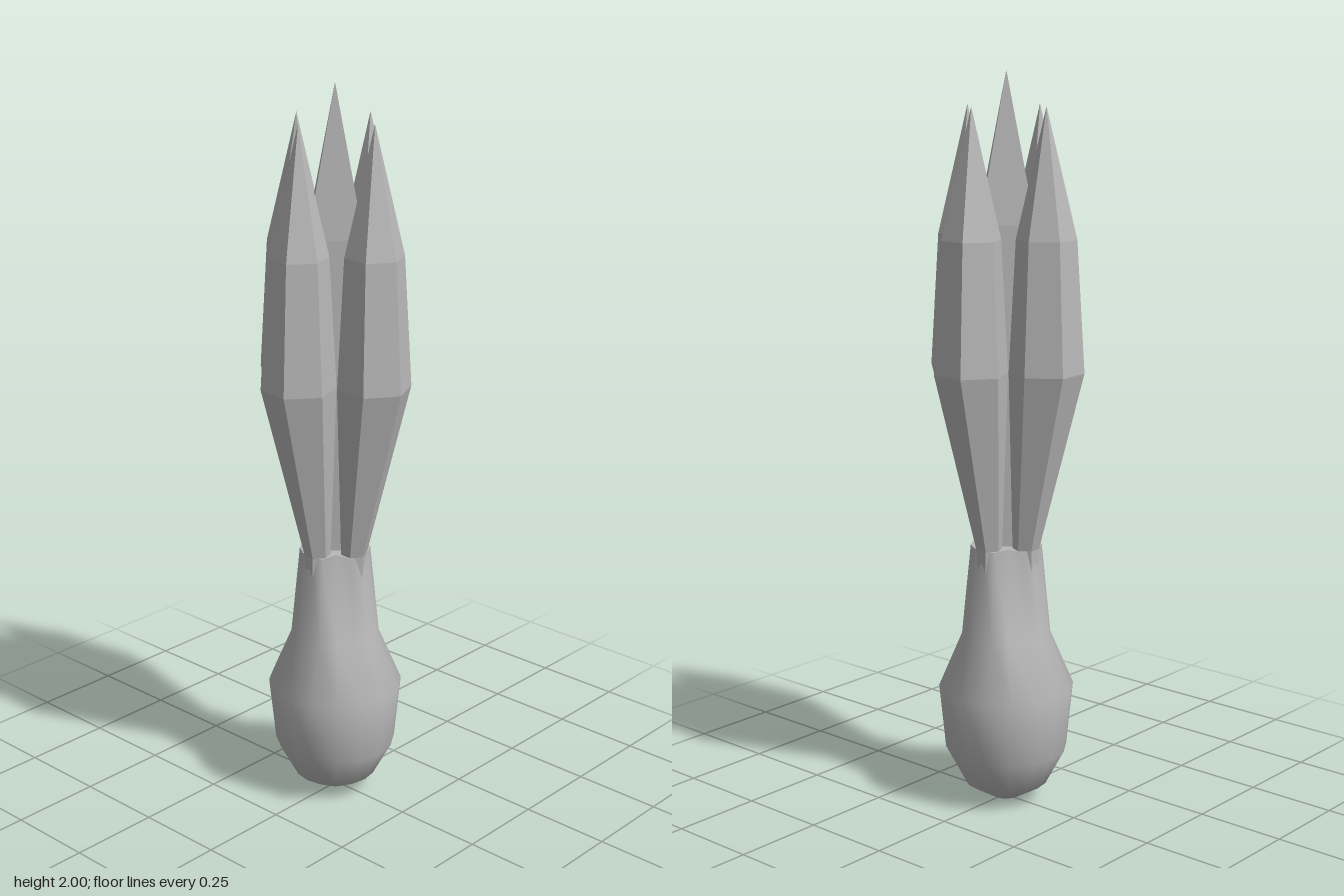
import * as THREE from 'three';
import { mergeVertices } from 'three/addons/utils/BufferGeometryUtils.js';

const grey = new THREE.MeshStandardMaterial({ color: 0xb8b8b8 });
grey.name = 'grey';

const SIDES = 6;

// Faceted spike lofted through rings of [y, distance outwards, radius], bottom to top
function spike(rings, azimuth, phase, cornerScale = () => 1) {
  const dir = THREE.MathUtils.degToRad(azimuth);
  const corner = ([y, dist, r], i) => {
    const a = THREE.MathUtils.degToRad(phase) + (i % SIDES) * Math.PI * 2 / SIDES;
    const s = r * cornerScale(i % SIDES);
    return [Math.cos(dir) * dist + Math.cos(a) * s, y, Math.sin(dir) * dist + Math.sin(a) * s];
  };
  const pos = [];
  for (let k = 0; k < rings.length - 1; k++) {
    const lo = rings[k], hi = rings[k + 1];
    for (let i = 0; i < SIDES; i++) {
      const a = corner(lo, i), b = corner(lo, i + 1), c = corner(hi, i + 1), d = corner(hi, i);
      if (hi[2] > 0) pos.push(...a, ...d, ...c);
      else pos.push(...a, ...d, ...b);
      if (lo[2] > 0 && hi[2] > 0) pos.push(...a, ...c, ...b);
    }
  }
  const geo = new THREE.BufferGeometry();
  geo.setAttribute('position', new THREE.Float32BufferAttribute(pos, 3));
  geo.computeVertexNormals();
  return geo;
}

// Pulls the neck rim inwards on two opposite diagonals
function pinch(geo) {
  const p = geo.attributes.position;
  for (let i = 0; i < p.count; i++) {
    const x = p.getX(i), z = p.getZ(i);
    if (p.getY(i) > 0.7 && Math.abs(x - z) < 0.01) {
      p.setX(i, x * 0.6);
      p.setZ(i, z * 0.6);
    }
  }
  return geo;
}

export function createModel() {
  const model = new THREE.Group();
  const add = (name, geo) => {
    const mesh = new THREE.Mesh(geo, grey);
    mesh.name = name;
    mesh.position.x = -0.006;
    model.add(mesh);
  };

  // Smooth rounded bulb with a narrowing neck
  const profile = [[0, 0], [0.04, 0.005], [0.115, 0.05], [0.168, 0.15],
    [0.186, 0.33], [0.122, 0.48], [0.097, 0.73]].map(([x, y]) => new THREE.Vector2(x, y));
  let bulb = new THREE.LatheGeometry(profile, 16);
  bulb.deleteAttribute('uv');
  bulb.deleteAttribute('normal');
  bulb = pinch(mergeVertices(bulb, 1e-4));
  bulb.computeVertexNormals();
  add('bulb', bulb);

  // Flat top of the neck
  const cap = new THREE.CircleGeometry(0.097, 16).rotateX(-Math.PI / 2).translate(0, 0.73, 0);
  add('neckTop', pinch(cap));

  // Four outer leaves, each turned a little differently
  const outer = [[0.5, 0.095, 0], [0.73, 0.07, 0.036], [1.22, 0.14, 0.1], [1.57, 0.138, 0.08], [1.91, 0.136, 0]];
  [['leftLeaf', 0, 5], ['frontLeaf', 90, 9], ['rightLeaf', 180, 25], ['backLeaf', 270, 4]]
    .forEach(([name, azimuth, phase]) => add(name, spike(outer, azimuth, phase)));

  // Taller middle leaf, flattened along one diagonal
  const middle = [[0.6, 0, 0], [0.73, 0, 0.05], [1.22, 0, 0.098], [1.6, 0, 0.085], [2, 0, 0]];
  add('middleLeaf', spike(middle, 0, -15, i => (i % 3 === 1 ? 0.5 : 1)));

  return model;
}
